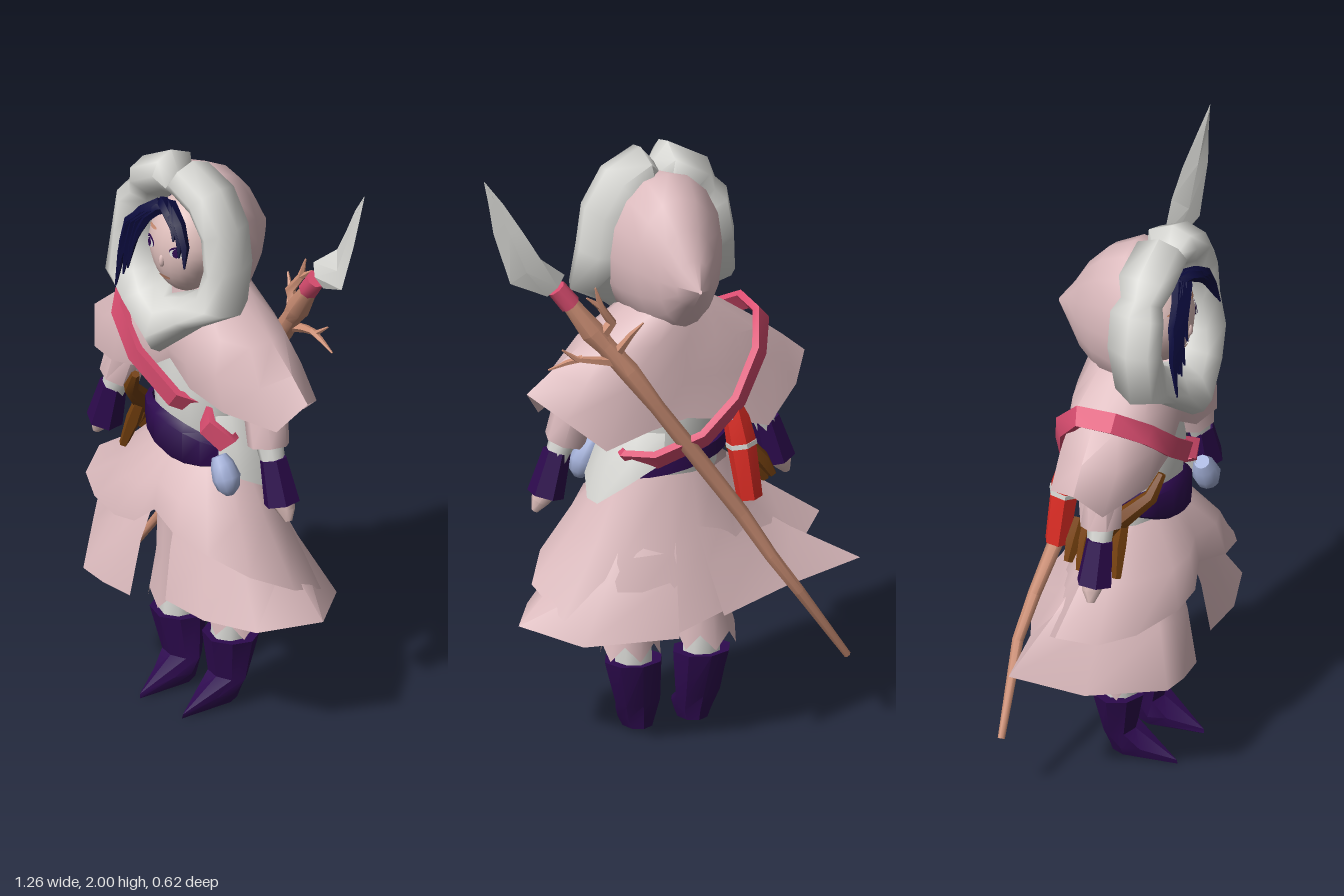
import * as THREE from 'three';
import { toCreasedNormals } from 'three/addons/utils/BufferGeometryUtils.js';

const CX = -0.03; // body centre line

export function createModel() {
  const model = new THREE.Group();
  const mat = (name, color) => {
    const m = new THREE.MeshStandardMaterial({ color, side: THREE.DoubleSide });
    m.name = name;
    return m;
  };
  const pink = mat('pink cloth', 0xdbbabd), fur = mat('white fur', 0xd8d8d4), purple = mat('dark purple', 0x2d0a4e);
  const navy = mat('navy hair', 0x0b0b3c), skin = mat('skin', 0xdfbfbc), crimson = mat('crimson', 0xda4d70);
  const red = mat('red leather', 0xdc2c24), brown = mat('brown leather', 0x74400f), wood = mat('wood', 0xcb8e74);
  const blue = mat('pale blue', 0xa3b0d8);

  const add = (name, geometry, material) => {
    const m = new THREE.Mesh(geometry, material);
    m.name = name;
    model.add(m);
    return m;
  };
  // Surface through a list of equally long point rings
  const loft = (rings, { closed = true, loop = false, caps = false, crease = 0.9 } = {}) => {
    const n = rings[0].length, R = rings.length, idx = [], pos = rings.flat(2);
    for (let r = 0; r < (loop ? R : R - 1); r++) {
      for (let i = 0; i < (closed ? n : n - 1); i++) {
        const a = r * n + i, b = r * n + (i + 1) % n, s = ((r + 1) % R) * n;
        const c = s + (i + 1) % n, d = s + i;
        idx.push(a, b, c, a, c, d);
      }
    }
    if (caps) for (let i = 1; i < n - 1; i++) {
      const e = (R - 1) * n;
      idx.push(0, i + 1, i, e, e + i, e + i + 1);
    }
    const g = new THREE.BufferGeometry();
    g.setAttribute('position', new THREE.Float32BufferAttribute(pos, 3));
    g.setIndex(idx);
    return toCreasedNormals(g, crease);
  };
  const ellipse = (n, f) => Array.from({ length: n }, (_, i) => f(Math.sin(i / n * Math.PI * 2), Math.cos(i / n * Math.PI * 2)));
  const flatRing = (n, x, y, z, rx, rz) => ellipse(n, (s, c) => [x + s * rx, y, z + c * rz]);
  // Tapered limb through [x, y, z, radius] points
  const limb = (pts, sides = 7) => {
    const v = pts.map(p => new THREE.Vector3(p[0], p[1], p[2]));
    return loft(pts.map((p, k) => {
      const d = v[Math.min(k + 1, v.length - 1)].clone().sub(v[Math.max(k - 1, 0)]).normalize();
      const u = d.clone().cross(new THREE.Vector3(0, 0, 1)).normalize(), w = u.clone().cross(d);
      return ellipse(sides, (s, c) => v[k].clone().addScaledVector(u, s * p[3]).addScaledVector(w, c * p[3]).toArray());
    }), { caps: true });
  };
  // Cloth hanging from an ellipse to a free hem, bulging at the front
  const drape = (hem, y, rx, rz, closed, flare, bulge = 0) => {
    const angles = hem.map(([x, , z]) => Math.atan2((x - CX) / rx, (z - 0.03) / rz));
    const top = angles.map(a => [CX + rx * Math.sin(a), y, 0.03 + rz * Math.cos(a)]);
    const mid = hem.map((h, i) => [0, 1, 2].map(k =>
      top[i][k] + (h[k] - top[i][k]) * (k === 1 ? 0.5 : flare + bulge * Math.max(0, Math.cos(angles[i])) ** 2)));
    return loft([hem, mid, top], { closed });
  };

  // Torso, vest tail and sash
  add('torso', loft([[0.9, 0.165, 0.12], [1, 0.16, 0.14], [1.15, 0.18, 0.15], [1.35, 0.15, 0.12]]
    .map(([y, rx, rz]) => flatRing(14, CX, y, 0.04, rx, rz))), fur);
  add('vestTail', drape([[0.16, 0.95, 0.16], [0.22, 0.88, 0.12], [0.25, 0.83, 0.03], [0.24, 0.83, -0.03], [0.17, 0.91, -0.11], [0.05, 0.98, -0.13]],
    1.07, 0.19, 0.15, false, 0.6), fur);
  const sashRing = (k, grow) => ellipse(20, (s, c) => {
    const x = CX + (0.18 + grow) * s;
    return [x, 0.967 - 0.2 * (x - CX) + k * (0.034 + 0.043 * Math.max(c, 0) ** 2), 0.04 + (0.145 + grow) * c];
  });
  add('sash', loft([sashRing(-1, 0), sashRing(-0.7, 0.022), sashRing(0.7, 0.022), sashRing(1, 0)]), purple);

  // Skirt layers
  add('upperSkirt', drape([[-0.03, 0.73, 0.26], [0.1, 0.69, 0.29], [0.22, 0.66, 0.27], [0.34, 0.6, 0.2], [0.42, 0.54, 0.08],
    [0.38, 0.47, -0.08], [0.26, 0.44, -0.17], [0.05, 0.42, -0.22], [-0.08, 0.47, -0.23], [-0.25, 0.5, -0.18], [-0.42, 0.58, -0.09],
    [-0.54, 0.67, 0], [-0.48, 0.64, 0.12], [-0.36, 0.63, 0.2], [-0.2, 0.65, 0.27], [-0.1, 0.67, 0.28]],
    0.92, 0.195, 0.135, true, 0.43, 0.4), pink);
  add('lowerSkirtRight', drape([[-0.08, 0.5, -0.31], [-0.35, 0.51, -0.18], [-0.63, 0.54, -0.12], [-0.49, 0.44, 0.08],
    [-0.32, 0.42, 0.29], [-0.22, 0.41, 0.3], [-0.11, 0.4, 0.29]], 0.78, 0.22, 0.16, false, 0.45, 0.2), pink);
  add('lowerSkirtLeft', drape([[0.03, 0.43, 0.27], [0.2, 0.42, 0.27], [0.38, 0.42, 0.21], [0.49, 0.43, 0.02],
    [0.35, 0.41, -0.18], [0.04, 0.41, -0.23]], 0.78, 0.22, 0.16, false, 0.45, 0.2), pink);

  // Shoulder cape, half of it mirrored
  const mirrored = half => [...half.map(([x, y, z]) => [CX + x, y, z]),
    ...half.slice(1, -1).reverse().map(([x, y, z]) => [CX - x, y, z])];
  add('cape', loft([
    [[0, 1.25, 0.19], [0.1, 1.18, 0.2], [0.25, 1.15, 0.2], [0.41, 1.11, 0.12], [0.48, 1.21, 0.05], [0.4, 1.15, -0.07],
      [0.28, 1.05, -0.13], [0.13, 1.1, -0.14], [0, 1.12, -0.13]],
    [[0, 1.29, 0.2], [0.1, 1.27, 0.215], [0.22, 1.27, 0.205], [0.35, 1.25, 0.14], [0.4, 1.28, 0.04], [0.33, 1.26, -0.07],
      [0.21, 1.24, -0.11], [0.1, 1.25, -0.125], [0, 1.25, -0.12]],
    [[0, 1.36, 0.2], [0.1, 1.36, 0.2], [0.2, 1.38, 0.165], [0.28, 1.36, 0.11], [0.3, 1.36, 0.03], [0.26, 1.36, -0.06],
      [0.18, 1.37, -0.1], [0.1, 1.38, -0.12], [0, 1.38, -0.12]],
    [[0, 1.45, 0.16], [0.06, 1.46, 0.16], [0.1, 1.47, 0.13], [0.13, 1.47, 0.09], [0.14, 1.47, 0.03], [0.13, 1.47, -0.03],
      [0.1, 1.47, -0.07], [0.05, 1.47, -0.1], [0, 1.47, -0.11]],
  ].map(mirrored)), pink);

  // Arms and legs
  for (const s of [1, -1]) {
    const side = s > 0 ? 'left' : 'right', X = x => CX + s * x;
    add(side + 'Sleeve', limb([[X(0.24), 1.3, 0.04, 0.06], [X(0.3), 1.16, 0.06, 0.075], [X(0.335), 1.02, 0.08, 0.068]]), pink);
    add(side + 'Cuff', limb([[X(0.335), 1.04, 0.08, 0.046], [X(0.37), 0.94, 0.085, 0.038]]), fur);
    add(side + 'Glove', limb([[X(0.36), 0.985, 0.085, 0.045], [X(0.4), 0.84, 0.085, 0.06]], 6), purple);
    add(side + 'Hand', limb([[X(0.395), 0.86, 0.085, 0.043], [X(0.42), 0.82, 0.085, 0.03], [X(0.435), 0.788, 0.09, 0.012]]), skin);
    const hem = flatRing(12, X(0.13), 0.27, 0.03, 0.1, 0.085);
    hem.forEach((p, i) => { p[1] += i % 2 ? 0.055 : 0; });
    add(side + 'Trouser', loft([hem, flatRing(12, X(0.12), 0.45, 0.03, 0.075, 0.075), flatRing(12, X(0.1), 0.8, 0.03, 0.08, 0.08)]), pink);
    add(side + 'Stocking', limb([[X(0.12), 0.42, 0.03, 0.06], [X(0.117), 0.225, 0.035, 0.064]], 8), fur);
    // ring: centre x, heel height, toe height, centre z, half width, depth behind, depth ahead
    add(side + 'Boot', loft([[0.095, 0.015, 0, 0.06, 0.05, 0.06, 0.17], [0.097, 0.05, 0.015, 0.06, 0.065, 0.065, 0.168],
      [0.103, 0.1, 0.1, 0.03, 0.076, 0.045, 0.055], [0.118, 0.25, 0.245, 0.035, 0.098, 0.085, 0.085]]
      .map(([x, y, toe, z, rx, back, front]) => ellipse(8, (a, c) =>
        [X(x) + a * rx, c > 0.9 ? toe : y, z + (c > 0 ? front * (front > 0.1 ? c ** 3 : c) : back * c)])),
      { caps: true, crease: 0.6 }), purple);
  }

  // Hood: [z, top, bottom, half width]
  add('hood', loft([[0.12, 1.88, 1.38, 0.205], [0.03, 1.9, 1.37, 0.187], [-0.06, 1.85, 1.39, 0.148], [-0.13, 1.77, 1.44, 0.1],
    [-0.18, 1.68, 1.52, 0.06], [-0.235, 1.6, 1.585, 0.006]]
    .map(([z, t, b, w]) => ellipse(16, (s, c) => [CX + s * w, (t + b) / 2 + c * (t - b) / 2, z])), { crease: 1.3 }), pink);
  // Fur trim: [outer x, outer y, inner x, inner y, front z, back z]
  add('furTrim', loft([[-0.03, 1.9, -0.03, 1.82, 0.21, 0.1], [0.02, 1.96, -0.01, 1.82, 0.235, 0.06], [0.14, 1.9, 0.05, 1.79, 0.235, 0.05],
    [0.215, 1.78, 0.09, 1.72, 0.23, 0.05], [0.235, 1.64, 0.1, 1.62, 0.23, 0.05], [0.255, 1.5, 0.075, 1.53, 0.25, 0.08],
    [0.12, 1.42, 0.03, 1.495, 0.285, 0.12], [-0.03, 1.29, -0.03, 1.48, 0.305, 0.18], [-0.19, 1.42, -0.09, 1.495, 0.285, 0.12],
    [-0.315, 1.48, -0.135, 1.53, 0.25, 0.08], [-0.3, 1.64, -0.16, 1.63, 0.23, 0.05], [-0.275, 1.78, -0.15, 1.72, 0.23, 0.05],
    [-0.235, 1.82, -0.13, 1.75, 0.21, 0.07], [-0.21, 1.89, -0.1, 1.79, 0.235, 0.05], [-0.075, 1.965, -0.05, 1.82, 0.235, 0.06]]
    .map(([ox, oy, ix, iy, f, b]) => {
      const P = (t, z) => [ix + (ox - ix) * t, iy + (oy - iy) * t, z];
      return [P(0, b), P(0.75, b), P(1, b + (f - b) * 0.45), P(0.87, f - 0.03), P(0.6, f), P(0.2, f - 0.035), P(0, f - 0.085)];
    }), { loop: true, crease: 1.5 }), fur);

  // Head with a narrowing chin
  const faceWidth = t => 0.135 * (1 - 0.3 * Math.max(0, -t));
  const faceZ = (x, y) => {
    const t = (y - 1.64) / 0.17;
    return 0.1 + 0.13 * Math.sqrt(Math.max(0, 1 - t * t - ((x - CX) / faceWidth(t)) ** 2));
  };
  const head = new THREE.SphereGeometry(1, 24, 18), hp = head.attributes.position;
  for (let i = 0; i < hp.count; i++) {
    const t = hp.getY(i);
    hp.setXYZ(i, CX + hp.getX(i) * faceWidth(t), 1.64 + t * 0.17, 0.1 + hp.getZ(i) * 0.13);
  }
  head.computeVertexNormals();
  add('head', head, skin);
  const nose = add('nose', new THREE.SphereGeometry(1, 10, 8), skin);
  nose.scale.set(0.01, 0.022, 0.011);
  nose.position.set(CX, 1.615, 0.226);
  // Painted features follow the face
  const paint = (name, x, y, rx, ry, tilt, lift, material) => {
    const g = new THREE.CircleGeometry(1, 14).scale(rx, ry, 1).rotateZ(tilt).translate(x, y, 0), p = g.attributes.position;
    for (let i = 0; i < p.count; i++) p.setZ(i, faceZ(p.getX(i), p.getY(i)) + lift);
    g.computeVertexNormals();
    add(name, g, material);
  };
  for (const s of [1, -1]) {
    const x = CX + s * 0.06;
    paint('eyeLine', x, 1.662, 0.027, 0.018, s * 0.1, 0.003, purple);
    paint('eyeWhite', x, 1.658, 0.024, 0.015, 0, 0.005, fur);
    paint('iris', x, 1.659, 0.012, 0.015, 0, 0.007, purple);
    paint('brow', x, 1.71, 0.028, 0.006, s * -0.1, 0.004, wood);
  }
  paint('mouth', CX, 1.553, 0.024, 0.008, 0, 0.004, wood);

  // Hair
  const cap = add('hairCap', new THREE.SphereGeometry(1, 18, 12), navy);
  cap.scale.set(0.135, 0.175, 0.1);
  cap.position.set(CX, 1.655, 0.075);
  // strand: root, bend and tip in x, y, with root width
  for (const [x0, y0, x1, y1, x2, y2, w] of [[-0.03, 1.81, -0.165, 1.71, -0.2, 1.47, 0.02], [-0.02, 1.81, -0.14, 1.72, -0.165, 1.53, 0.022],
    [-0.02, 1.81, -0.12, 1.73, -0.145, 1.56, 0.02], [-0.01, 1.81, -0.085, 1.755, -0.125, 1.64, 0.018], [-0.06, 1.8, -0.165, 1.7, -0.185, 1.55, 0.022],
    [-0.02, 1.81, 0.06, 1.78, 0.11, 1.65, 0.022], [-0.02, 1.81, 0.04, 1.785, 0.085, 1.68, 0.022], [-0.05, 1.81, 0.01, 1.8, 0.06, 1.73, 0.02]])
    add('hairStrand', limb([[x0, y0, 0.2, w], [(x0 + x1) / 2, (y0 + y1) / 2 + 0.012, 0.225, w], [x1, y1, 0.238, w * 0.95],
      [(x1 + x2) / 2 - (x2 < -0.03 ? 0.008 : -0.01), (y1 + y2) / 2, 0.248, w * 0.7], [x2, y2, 0.265, 0.003]], 5), navy);

  // Strap over the shoulder, tucked under the vest at the front and the left hip
  const path = [[-0.325, 1.395, 0.1], [-0.26, 1.34, 0.19], [-0.15, 1.235, 0.225], [0, 1.12, 0.2], [0.065, 1.08, 0.125], [0.12, 1.05, 0.17],
    [0.175, 1, 0.14], [0.12, 0.98, 0.05], [0.15, 0.985, -0.07], [0.08, 0.995, -0.135], [-0.08, 1.05, -0.15], [-0.2, 1.16, -0.145],
    [-0.29, 1.3, -0.1], [-0.33, 1.39, -0.02]].map(p => new THREE.Vector3(...p));
  const core = new THREE.Vector3(CX, 1.15, 0.03);
  add('strap', loft(path.map((p, i) => {
    const d = path[(i + 1) % path.length].clone().sub(path.at(i - 1)).normalize();
    const w = d.clone().cross(p.clone().sub(core)).normalize(), out = w.clone().cross(d);
    return [[-1, -1], [-1, 1], [1, 1], [1, -1]].map(([a, b]) => p.clone().addScaledVector(w, a * 0.033).addScaledVector(out, b * 0.012).toArray());
  }), { loop: true, crease: 0.6 }), crimson);

  // Belt items
  add('flask', limb([[0.17, 0.965, 0.17, 0.025], [0.185, 0.94, 0.17, 0.038], [0.205, 0.9, 0.17, 0.046], [0.215, 0.865, 0.17, 0.036], [0.22, 0.845, 0.17, 0.015]], 10), blue);
  add('holster', limb([[-0.2, 1.13, -0.1, 0.04], [-0.215, 1.02, -0.125, 0.048], [-0.24, 0.82, -0.14, 0.042]], 6), red);
  add('holsterBand', limb([[-0.216, 1.01, -0.126, 0.051], [-0.218, 0.995, -0.128, 0.051]], 6), fur);
  add('tasselCord', limb([[-0.175, 1.14, 0.2, 0.014], [-0.215, 1.07, 0.18, 0.025], [-0.255, 0.99, 0.1, 0.033], [-0.28, 0.93, 0.04, 0.038]], 6), brown);
  for (let i = 0; i < 5; i++)
    add('tassel', limb([[-0.245 - i * 0.008, 1 - i * 0.01, 0.1 - i * 0.035, 0.02], [-0.285 - i * 0.01, 0.9, 0.1 - i * 0.035, 0.026],
      [-0.32 - i * 0.01, 0.8 + (i * 2 % 5) * 0.014, 0.11 - i * 0.038, 0.015]], 5), brown);

  // Spear
  add('spearShaft', limb([[-0.56, 0.24, -0.18, 0.012], [-0.38, 0.5, -0.21, 0.019], [-0.29, 0.63, -0.195, 0.022], [-0.2, 0.78, -0.165, 0.026],
    [-0.06, 0.98, -0.155, 0.028], [0.08, 1.18, -0.14, 0.026], [0.17, 1.31, -0.12, 0.035], [0.24, 1.4, -0.095, 0.032], [0.28, 1.45, -0.08, 0.04],
    [0.37, 1.58, -0.055, 0.024]]), wood);
  for (const t of [[[0.26, 1.42, -0.09, 0.022], [0.22, 1.48, -0.1, 0.018], [0.26, 1.54, -0.11, 0.013], [0.28, 1.61, -0.11, 0.003]],
    [[0.26, 1.54, -0.11, 0.012], [0.31, 1.58, -0.11, 0.003]],
    [[0.19, 1.34, -0.11, 0.02], [0.28, 1.36, -0.11, 0.014], [0.34, 1.37, -0.1, 0.01], [0.39, 1.41, -0.1, 0.003]],
    [[0.32, 1.37, -0.1, 0.012], [0.37, 1.36, -0.09, 0.009], [0.43, 1.34, -0.08, 0.003]],
    [[0.21, 1.37, -0.11, 0.018], [0.17, 1.45, -0.15, 0.01], [0.14, 1.49, -0.17, 0.003]]])
    add('twig', limb(t, 5), wood);
  add('spearBinding', limb([[0.345, 1.545, -0.06, 0.034], [0.39, 1.605, -0.05, 0.032]], 8), crimson);
  add('spearBlade', loft([[0.365, 1.65, 0.42, 1.58], [0.455, 1.725, 0.535, 1.63], [0.51, 1.82, 0.592, 1.81], [0.57, 1.92, 0.613, 1.92], [0.628, 2, 0.63, 2]]
    .map(([a, b, c, d], i) => {
      const z = -0.055 + i * 0.007, h = [0.016, 0.012, 0.009, 0.006, 0.001][i], tilt = [0.005, 0.03, 0.025, 0.01, 0][i];
      return [[a, b, z - tilt], [(a + c) / 2, (b + d) / 2, z + h], [c, d, z + tilt], [(a + c) / 2, (b + d) / 2, z - h]];
    }), { caps: true, crease: 0.3 }), fur);
  return model;
}
